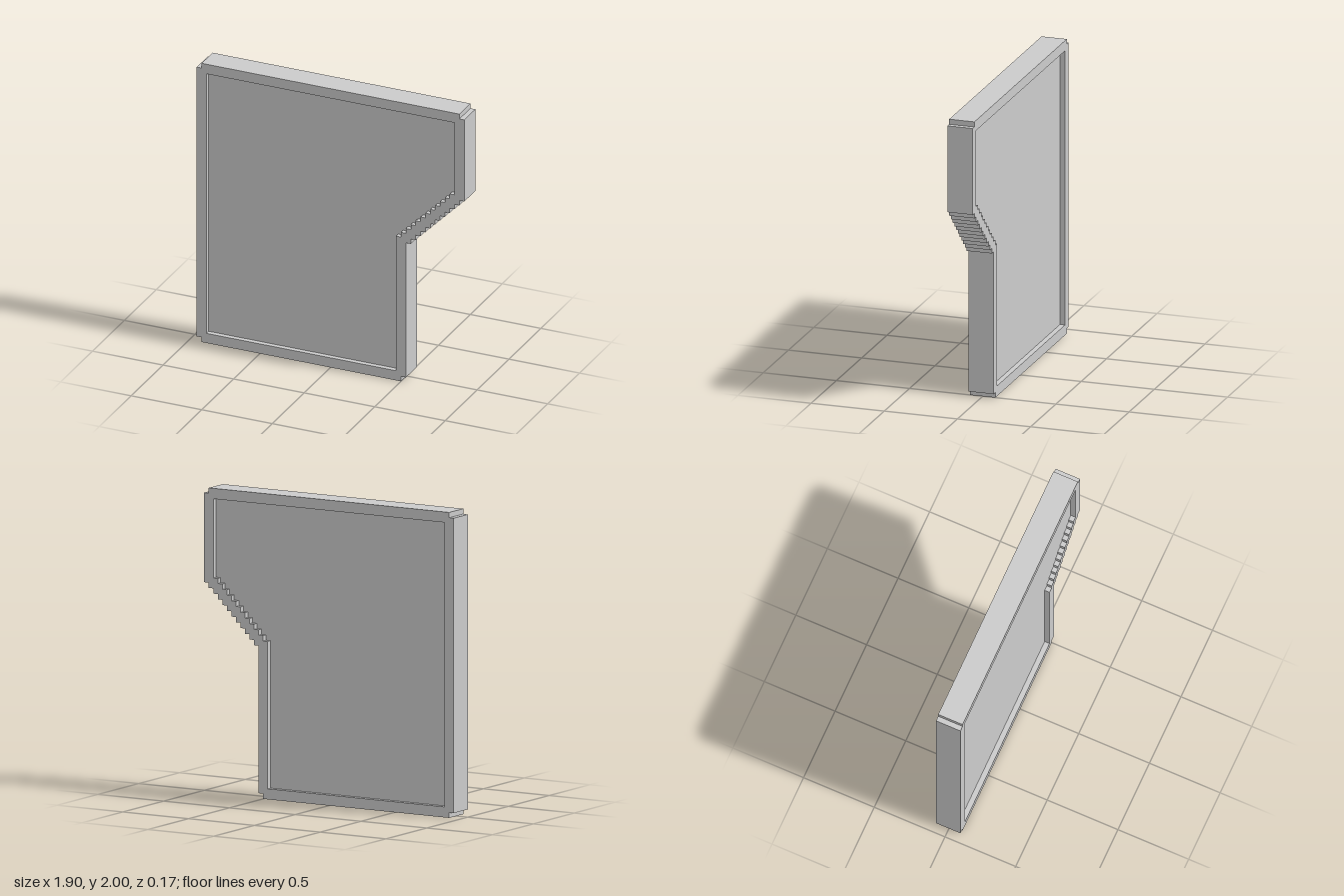
import * as THREE from 'three';

const U = 2 / 58; // one step of the stepped outline
const toPoint = ([x, y]) => new THREE.Vector2((x - 27.5) * U, y * U);

// staircase along the slanted edge: tread out, then riser up
function stairs(x, y, count) {
  const pts = [];
  for (let i = 0; i < count; i++) {
    pts.push([x + i, y + i], [x + i + 1, y + i]);
  }
  return pts;
}

function extrude(name, shape, depth, material) {
  const geometry = new THREE.ExtrudeGeometry(shape, { depth, bevelEnabled: false });
  geometry.translate(0, 0, -depth / 2);
  const mesh = new THREE.Mesh(geometry, material);
  mesh.name = name;
  return mesh;
}

export function createModel() {
  const group = new THREE.Group();
  group.name = 'steppedPanel';
  const material = new THREE.MeshStandardMaterial({ color: 0xcccccc, flatShading: true });

  // outer outline with notched corners
  const outer = [
    [1, 0], [42, 0], [42, 1], [43, 1],
    ...stairs(43, 29, 12),
    [55, 57], [54, 57], [54, 58], [1, 58], [1, 57], [0, 57], [0, 1], [1, 1],
  ].map(toPoint);

  // inner outline, two units inside the rim
  const inner = [
    [2, 2], [41, 2],
    ...stairs(41, 30, 12),
    [53, 56], [2, 56],
  ].map(toPoint);

  // raised rim
  const rim = new THREE.Shape(outer);
  rim.holes.push(new THREE.Path(inner));
  group.add(extrude('rim', rim, 5 * U, material));

  // panel recessed on both faces
  group.add(extrude('panel', new THREE.Shape(inner), 3 * U, material));

  return group;
}
